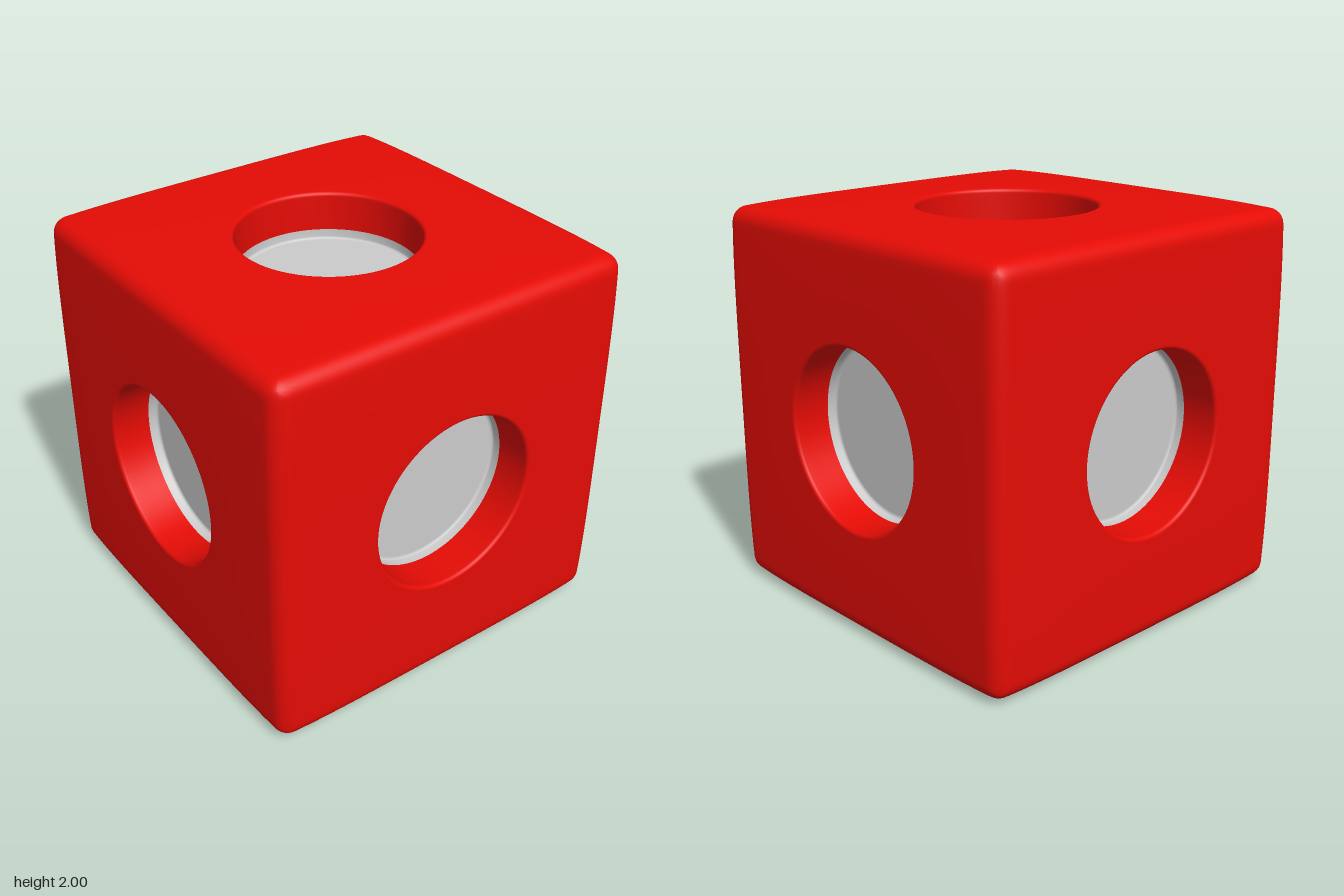
import * as THREE from 'three';
import { ParametricGeometry } from 'three/addons/geometries/ParametricGeometry.js';
import { mergeGeometries, mergeVertices } from 'three/addons/utils/BufferGeometryUtils.js';

const HOLE = 0.45;      // bore radius
const LIP = 0.02;       // rounding of the hole rim
const EDGE = 0.08;      // rounding of the cube edges
const DOME = 0.012;     // slight fall of each face towards its edges
const BORE_END = 0.8;   // where the bore meets the inset cup
const FLOOR = 0.75;     // distance of the cup floor from the cube centre

// Rings of one face, from the bottom of the bore out to the cube edge:
// r, z describe the round part, s blends from the circle (0) to the square (1)
const rings = [{ r: HOLE, z: BORE_END, s: 0 }, { r: HOLE, z: 0.95, s: 0 }];
for (let i = 0; i < 6; i++) {
  const a = (i / 6) * Math.PI / 2;
  rings.push({ r: HOLE + LIP * (1 - Math.cos(a)), z: 1 - LIP + LIP * Math.sin(a), s: 0 });
}
for (const s of [0, 0.05, 0.3, 0.6, 0.8, 0.85, 0.88, 0.91, 0.94, 0.97, 1]) {
  rings.push({ r: HOLE + LIP, z: 1, s });
}

// Moves a point of the sharp cube onto the rounded, slightly domed one
function soften(p) {
  const core = p.clone().clampScalar(EDGE - 1, 1 - EDGE);
  p.sub(core).setLength(EDGE).add(core);
  const [x4, y4, z4] = [p.x ** 4, p.y ** 4, p.z ** 4];
  p.x *= 1 - DOME * x4 * (y4 + z4);
  p.y *= 1 - DOME * y4 * (x4 + z4);
  p.z *= 1 - DOME * z4 * (x4 + y4);
}

function facePoint(u, v, target) {
  const ring = rings[Math.round(v * (rings.length - 1))];
  // four sides, each with w running from -1 to 1
  const side = Math.min(3, Math.floor(u * 4 + 1e-9));
  const w = (u * 4 - side) * 2 - 1;
  const a = w * Math.PI / 4;
  const x = THREE.MathUtils.lerp(ring.r * Math.cos(a), 1, ring.s);
  const y = THREE.MathUtils.lerp(ring.r * Math.sin(a), Math.sin(w * Math.PI / 2), ring.s);
  target.set(x, -y, ring.z);
  if (ring.z === 1) soften(target);
  target.applyAxisAngle(new THREE.Vector3(0, 0, 1), -side * Math.PI / 2);
}

export function createModel() {
  const model = new THREE.Group();
  const red = new THREE.MeshStandardMaterial({ color: 0xe50c05 });
  const grey = new THREE.MeshStandardMaterial({ color: 0xcccccc, side: THREE.DoubleSide });

  // turns that carry the front face to all six sides
  const q = Math.PI / 2;
  const turns = [[0, 0], [0, q], [0, 2 * q], [0, -q], [q, 0], [-q, 0]];

  // Cube shell: six pierced faces welded into one smooth surface
  const face = new ParametricGeometry(facePoint, 96, rings.length - 1);
  face.deleteAttribute('normal');
  face.deleteAttribute('uv');
  const faces = turns.map(([x, y]) => face.clone().rotateX(x).rotateY(y));
  const shell = mergeVertices(mergeGeometries(faces), 1e-4);
  shell.computeVertexNormals();
  const cube = new THREE.Mesh(shell, red);
  cube.name = 'cubeShell';
  cube.position.y = 1;
  model.add(cube);

  // Shallow grey cup closing each hole
  const profile = [
    [HOLE, BORE_END], [HOLE, FLOOR + 0.012], [HOLE - 0.004, FLOOR + 0.004],
    [HOLE - 0.012, FLOOR], [HOLE - 0.02, FLOOR], [0, FLOOR],
  ].map(([x, y]) => new THREE.Vector2(x, y));
  const cupGeometry = new THREE.LatheGeometry(profile, 96).rotateX(q);
  turns.forEach(([x, y], i) => {
    const cup = new THREE.Mesh(cupGeometry.clone().rotateX(x).rotateY(y), grey);
    cup.name = `holeInset${i + 1}`;
    cup.position.y = 1;
    model.add(cup);
  });
  return model;
}
